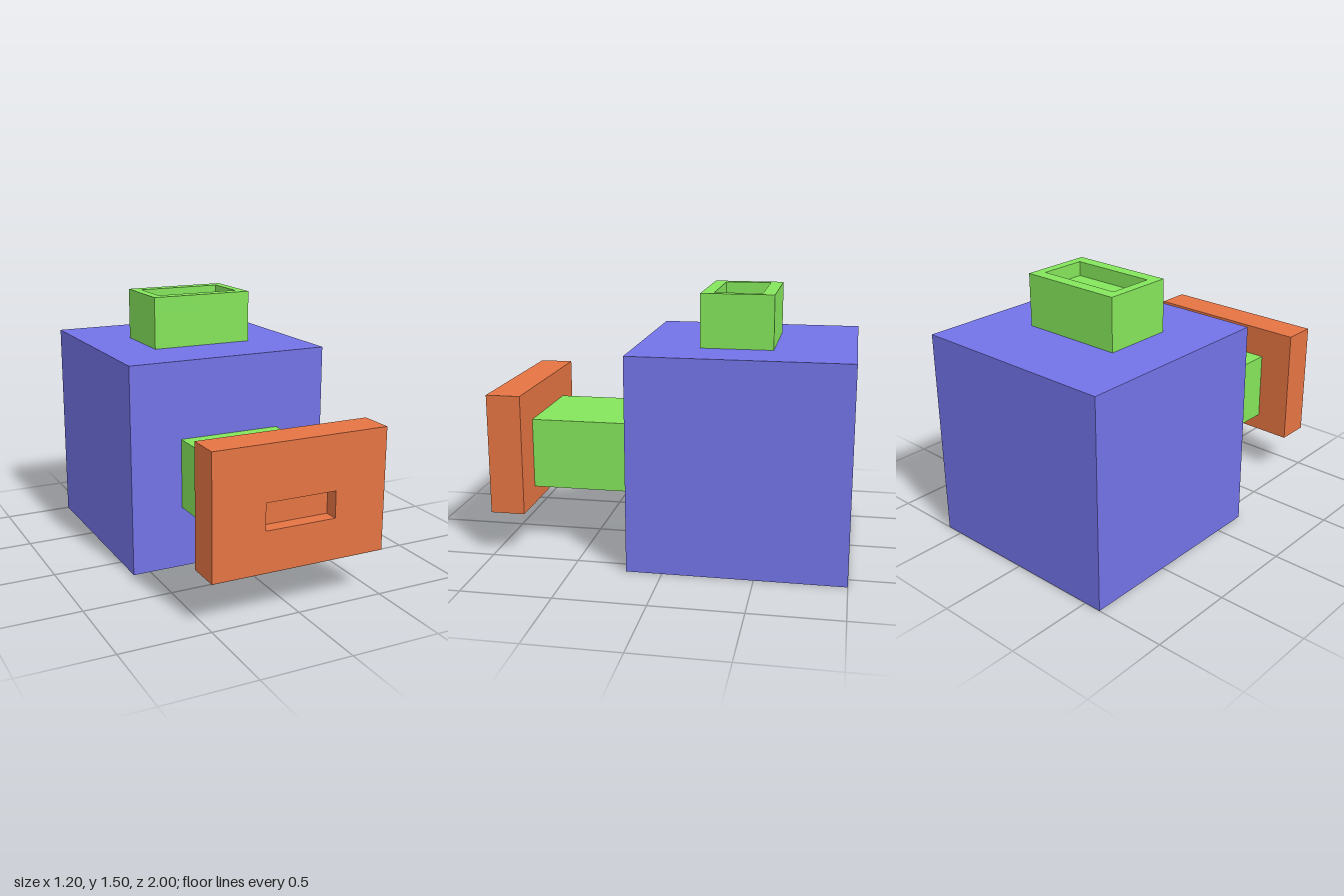
import * as THREE from 'three';

const blue = new THREE.MeshStandardMaterial({ name: 'blue', color: 0x7373e8 });
const green = new THREE.MeshStandardMaterial({ name: 'green', color: 0x84e55b });
const orange = new THREE.MeshStandardMaterial({ name: 'orange', color: 0xe57443 });

function box(name, material, size, position) {
  const mesh = new THREE.Mesh(new THREE.BoxGeometry(...size), material);
  mesh.name = name;
  mesh.position.set(...position);
  return mesh;
}

function rectangle(Path, w, h, y = 0) {
  return new Path([[-w / 2, y - h / 2], [w / 2, y - h / 2], [w / 2, y + h / 2], [-w / 2, y + h / 2]]
    .map(([px, py]) => new THREE.Vector2(px, py)));
}

// Block along +z from z = 0, with a rectangular pocket in its front face
function pocketBlock(name, material, [w, h, d], [pw, ph, depth], pocketY = 0) {
  const group = new THREE.Group();
  group.name = name;
  const shape = rectangle(THREE.Shape, w, h);
  shape.holes.push(rectangle(THREE.Path, pw, ph, pocketY));
  const rim = new THREE.Mesh(
    new THREE.ExtrudeGeometry(shape, { depth, bevelEnabled: false }), material);
  rim.name = name + 'Rim';
  rim.position.z = d - depth;
  group.add(rim, box(name + 'Base', material, [w, h, d - depth], [0, 0, (d - depth) / 2]));
  return group;
}

export function createModel() {
  const model = new THREE.Group();
  model.name = 'model';

  // Main body and the arm reaching forward
  model.add(box('body', blue, [1.2, 1.2, 1.2], [0, 0.6, -0.4]));
  model.add(box('arm', green, [0.6, 0.4, 0.607], [0, 0.557, 0.5035]));

  // Front plate with a slot
  const plate = pocketBlock('frontPlate', orange, [1, 0.68, 0.193], [0.405, 0.148, 0.08], -0.038);
  plate.position.set(0, 0.597, 0.807);
  model.add(plate);

  // Top block with a tray, pocket facing up
  const tray = pocketBlock('topBlock', green, [0.6, 0.4, 0.297], [0.493, 0.26, 0.08]);
  tray.rotation.x = -Math.PI / 2;
  tray.position.set(0, 1.2, -0.357);
  model.add(tray);

  return model;
}
